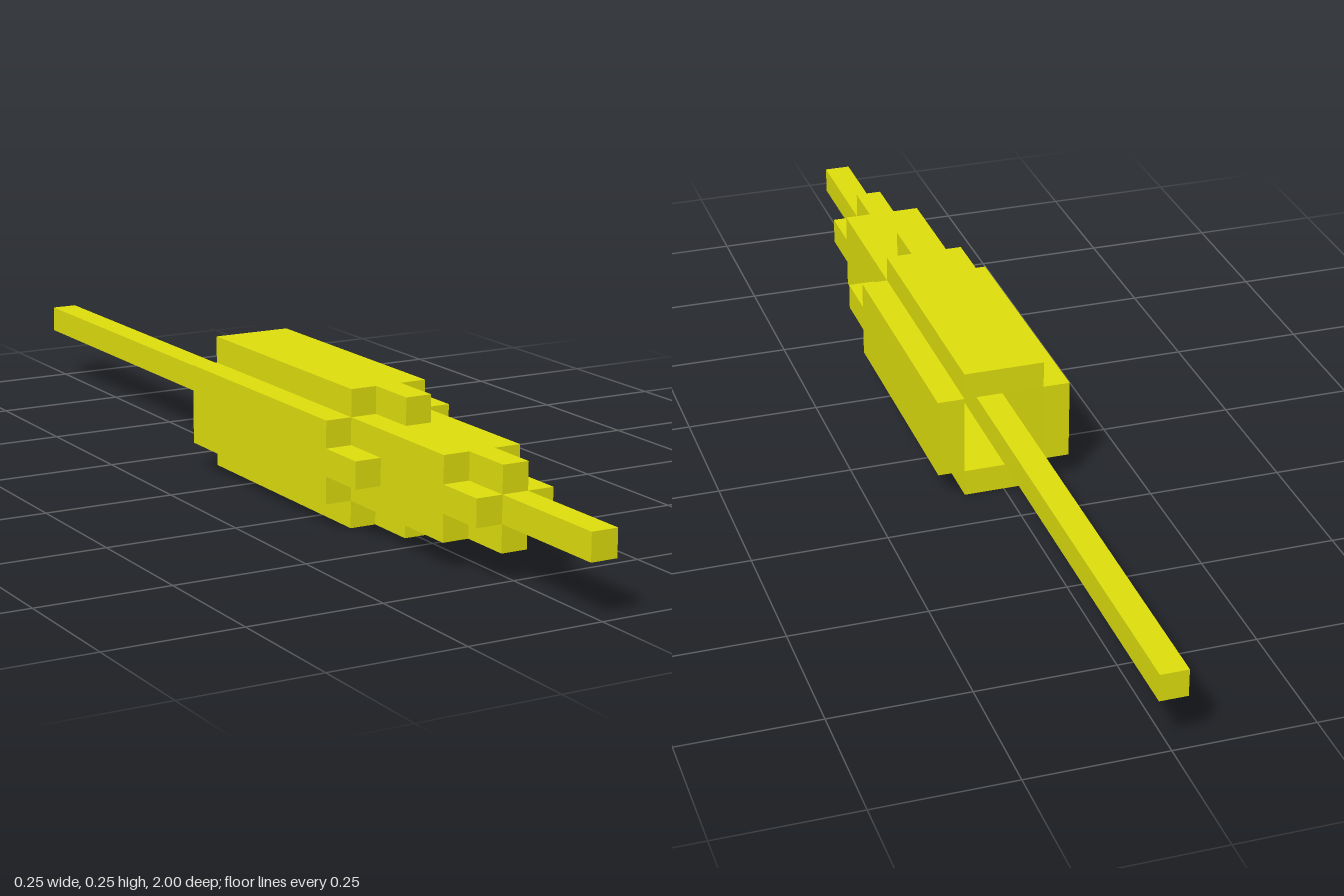
import * as THREE from 'three';

export function createModel() {
  const model = new THREE.Group();
  const material = new THREE.MeshStandardMaterial({ color: 0xdddd0d, flatShading: true });
  const axisY = 0.125;

  // Box given by its size across, size up, offset from the axis and z range
  function block(parent, name, w, h, x, y, z0, z1) {
    const mesh = new THREE.Mesh(new THREE.BoxGeometry(w, h, z1 - z0), material);
    mesh.position.set(x, y, (z0 + z1) / 2);
    mesh.name = name;
    parent.add(mesh);
  }

  const body = new THREE.Group();
  body.name = 'body';
  body.position.y = axisY;
  model.add(body);

  // Thin rod through the whole length
  block(body, 'rod', 0.05, 0.05, 0, 0, -1, 1);

  // Solid nose block
  block(body, 'noseBlock', 0.15, 0.15, 0, 0, 0.35, 0.65);

  // Four sides: hollow sleeve plates, their front tabs and the nose tabs
  for (let i = 0; i < 4; i++) {
    const side = new THREE.Group();
    side.name = 'side' + (i + 1);
    side.rotation.z = i * Math.PI / 2;
    block(side, 'sleevePlate', 0.15, 0.05, 0, 0.1, -0.15, 0.35);
    block(side, 'sleeveTab', 0.05, 0.05, 0, 0.1, 0.35, 0.45);
    block(side, 'noseTab', 0.05, 0.05, 0, 0.05, 0.65, 0.75);
    body.add(side);
  }

  return model;
}
